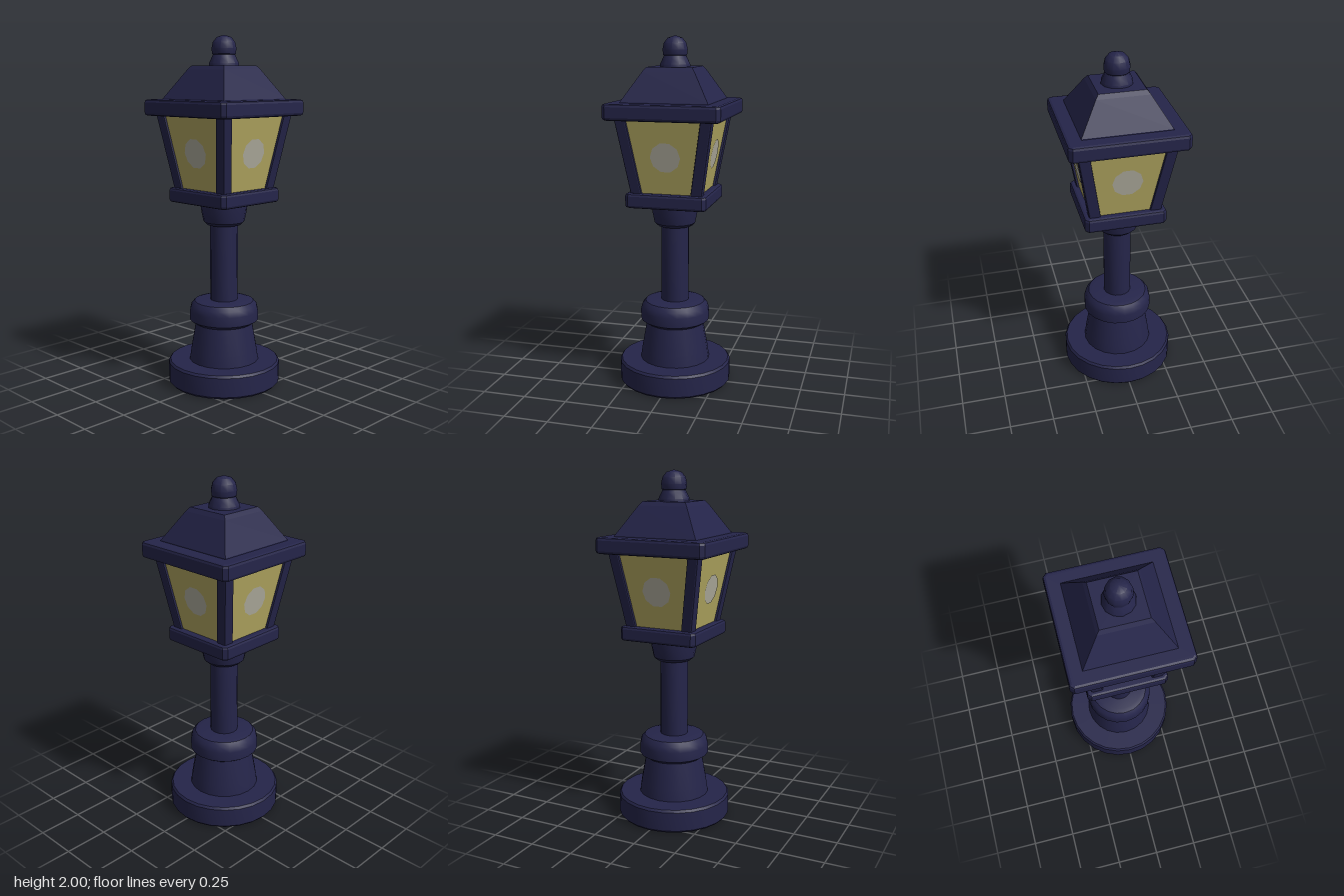
import * as THREE from 'three';
import { toCreasedNormals } from 'three/addons/utils/BufferGeometryUtils.js';
import { RoundedBoxGeometry } from 'three/addons/geometries/RoundedBoxGeometry.js';

export function createModel() {
  const model = new THREE.Group();
  model.name = 'streetLamp';
  const mat = (name, color) => {
    const m = new THREE.MeshStandardMaterial({ color });
    m.name = name;
    return m;
  };
  const iron = mat('navyIron', 0x25254a);
  const glass = mat('yellowGlass', 0xb4a962);
  const glow = mat('paleGlow', 0xb2afa0);

  const add = (name, geometry, material = iron, parent = model) => {
    const mesh = new THREE.Mesh(geometry, material);
    mesh.name = name;
    parent.add(mesh);
    return mesh;
  };

  // Round part turned from [radius, height] pairs, bottom to top
  const turned = (name, profile, sides = 20) => add(name, toCreasedNormals(
    new THREE.LatheGeometry(profile.map(([r, y]) => new THREE.Vector2(r, y)), sides), 0.6));

  // Square part from [half width, height] pairs
  const square = (name, profile) => add(name, toCreasedNormals(
    new THREE.LatheGeometry(profile.map(([h, y]) => new THREE.Vector2(h * Math.SQRT2, y)), 4)
      .rotateY(Math.PI / 4), 0.1));

  // Square slab with cut corners and bevelled edges
  const slab = (name, half, y0, y1, bevel) => {
    const a = half - bevel, c = a - 0.012;
    const shape = new THREE.Shape(
      [[a, -c], [a, c], [c, a], [-c, a], [-a, c], [-a, -c], [-c, -a], [c, -a]]
        .map(([x, y]) => new THREE.Vector2(x, y)));
    const geometry = new THREE.ExtrudeGeometry(shape, {
      depth: y1 - y0 - 2 * bevel, bevelEnabled: true,
      bevelThickness: bevel, bevelSize: bevel, bevelSegments: 2,
    });
    geometry.rotateX(-Math.PI / 2).translate(0, y0 + bevel, 0);
    add(name, geometry);
  };

  // Foot, pedestal and pole
  turned('foot', [[0, 0], [0.315, 0], [0.325, 0.012], [0.325, 0.122], [0.315, 0.135], [0, 0.135]], 24);
  turned('pedestal', [[0.203, 0.13], [0.193, 0.2], [0.165, 0.36]]);
  turned('pedestalCollar', [[0.155, 0.345], [0.2, 0.375], [0.2, 0.43], [0.192, 0.462],
    [0.172, 0.485], [0.145, 0.492], [0, 0.492]]);
  turned('pole', [[0.08, 0.48], [0.08, 0.96]], 16);
  turned('poleCap', [[0, 0.935], [0.1, 0.935], [0.118, 0.952], [0.13, 1.01], [0.136, 1.075]], 16);

  // Lantern frame
  slab('lanternFloor', 0.23, 1.065, 1.147, 0.015);
  slab('eaves', 0.325, 1.555, 1.645, 0.016);

  // Leaning corner posts
  const slope = 0.165, midY = 1.35;
  for (const sx of [-1, 1]) for (const sz of [-1, 1]) {
    const geometry = new RoundedBoxGeometry(0.064, 0.47, 0.064, 1, 0.008);
    const p = geometry.attributes.position;
    for (let i = 0; i < p.count; i++) {
      const offset = 0.204 + p.getY(i) * slope;
      p.setXYZ(i, p.getX(i) + sx * offset, p.getY(i) + midY, p.getZ(i) + sz * offset);
    }
    geometry.computeVertexNormals();
    add('cornerPost', geometry);
  }

  // Four sloping panes, each with a pale glow spot
  const paneShape = new THREE.Shape([[-0.148, -0.23], [0.148, -0.23], [0.222, 0.23], [-0.222, 0.23]]
    .map(([x, y]) => new THREE.Vector2(x, y)));
  for (let i = 0; i < 4; i++) {
    const side = new THREE.Group();
    side.name = 'window';
    side.rotation.y = i * Math.PI / 2;
    const tilted = new THREE.Group();
    tilted.name = 'tiltedPane';
    tilted.position.set(0, midY, 0.222);
    tilted.rotation.x = Math.atan(slope);
    side.add(tilted);
    model.add(side);
    add('pane', new THREE.ShapeGeometry(paneShape), glass, tilted);
    add('glowSpot', new THREE.CircleGeometry(0.085, 10), glow, tilted).position.set(0.004, 0.005, 0.004);
  }

  // Roof and finial
  square('roof', [[0.245, 1.635], [0.243, 1.65], [0.145, 1.81], [0.128, 1.832], [0, 1.832]]);
  turned('finialBase', [[0.088, 1.825], [0.086, 1.845], [0.07, 1.878], [0.06, 1.9]], 12);
  turned('finialBall', [[0.05, 1.878], [0.068, 1.895], [0.072, 1.925], [0.064, 1.96],
    [0.042, 1.987], [0, 2]], 12);

  return model;
}
